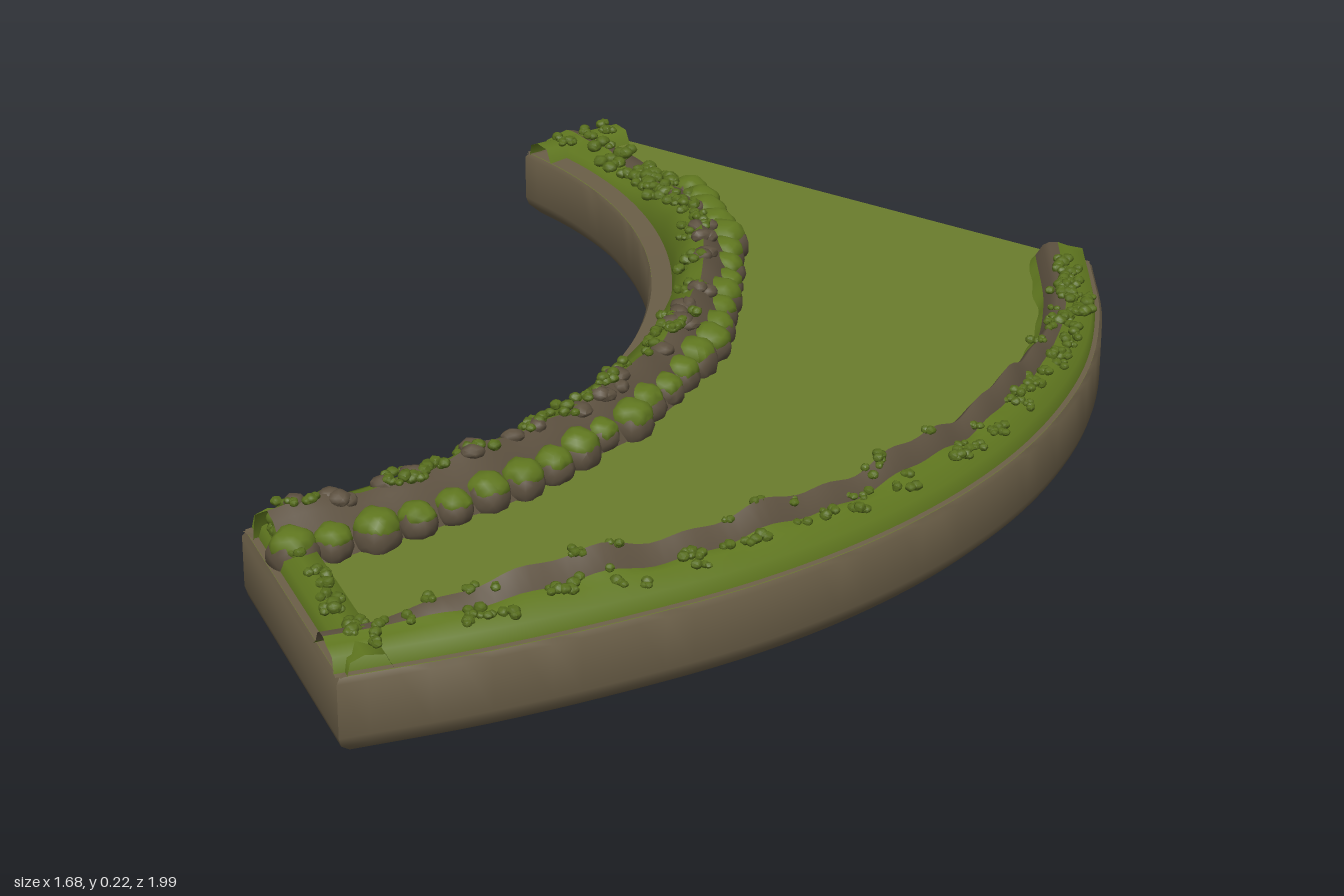
import * as THREE from 'three';
import { mergeGeometries, toCreasedNormals } from 'three/addons/utils/BufferGeometryUtils.js';

const material = (name, color) => new THREE.MeshStandardMaterial({ name, color, side: THREE.DoubleSide });

// Seeded random numbers
let seed = 7;
const rand = (a = 0, b = 1) => {
  seed = (seed * 16807) % 2147483647;
  return a + (b - a) * seed / 2147483647;
};
const mix = THREE.MathUtils.lerp;
const smooth = THREE.MathUtils.smoothstep;

// Ground-plane path; at(u, offset) moves inward from the platform edge
function makePath(points, samples) {
  const curve = new THREE.CatmullRomCurve3(points.map(([x, z]) => new THREE.Vector3(x, 0, z)), false, 'centripetal');
  return {
    samples,
    at(u, offset, y = 0) {
      const p = curve.getPointAt(u), t = curve.getTangentAt(u);
      return new THREE.Vector3(p.x + t.z * offset, y, p.z - t.x * offset);
    },
  };
}

// Surface spanning a run of profile points swept along a path
function sweep(path, profile, from, to) {
  const pos = [], index = [], w = to - from + 1;
  for (let i = 0; i <= path.samples; i++) {
    const u = i / path.samples, rows = profile(u);
    for (let j = from; j <= to; j++) pos.push(...path.at(u, ...rows[j]).toArray());
  }
  for (let i = 0; i < path.samples; i++) {
    for (let j = 0; j < w - 1; j++) {
      const a = i * w + j, b = a + w;
      index.push(a, b, a + 1, b, b + 1, a + 1);
    }
  }
  const g = new THREE.BufferGeometry();
  g.setAttribute('position', new THREE.Float32BufferAttribute(pos, 3));
  g.setIndex(index);
  g.computeVertexNormals();
  return g;
}

function heightAt(profile, u, offset) {
  const rows = profile(u);
  for (let i = 1; i < rows.length; i++) {
    const [a, ya] = rows[i - 1], [b, yb] = rows[i];
    if (offset <= b) return mix(ya, yb, THREE.MathUtils.clamp((offset - a) / (b - a), 0, 1));
  }
  return 0.12;
}

// Lumpy ball for rocks and leaves
function lump(p, sx, sy, sz, detail = 1) {
  const g = new THREE.IcosahedronGeometry(1, detail);
  g.rotateY(rand(0, 6.28));
  const a = g.attributes.position, k = rand(0, 6);
  for (let i = 0; i < a.count; i++) {
    const s = 1 + 0.1 * Math.sin(a.getX(i) * 5 + k) * Math.cos(a.getZ(i) * 5 + k);
    a.setXYZ(i, a.getX(i) * s * sx, a.getY(i) * s * sy, a.getZ(i) * s * sz);
  }
  g.translate(p.x, p.y, p.z);
  return toCreasedNormals(g, 1);
}

export function createModel() {
  const group = new THREE.Group();
  const grass = material('meadow grass', 0x6b7d2d);
  const moss = material('bank moss', 0x5f761f);
  const leaf = material('bush leaves', 0x566c1c);
  const stone = material('edge stone', 0x6a5e47);
  const rock = material('bank rock', 0x5d5140);
  const add = (name, geometry, mat) => {
    const m = new THREE.Mesh(geometry, mat);
    m.name = name;
    group.add(m);
  };

  // The edge paths, running left end, outer curve, cut side, far end, inner curve
  const arc = [];
  for (let i = 0; i <= 16; i++) {
    const a = mix(-0.296, 1.454, i / 16);
    arc.push([-0.97 + 1.117 * Math.cos(a), -0.62 + 1.117 * Math.sin(a)]);
  }
  const inner = makePath(arc, 110);
  const left = makePath([[-0.84, 0.49], [-0.84, 0.985]], 24);
  const outer = makePath([[-0.84, 0.985], [-0.62, 0.985], [-0.4, 0.965], [-0.2, 0.93], [0, 0.865], [0.2, 0.765],
    [0.4, 0.62], [0.6, 0.41], [0.74, 0.19], [0.84, -0.035]], 110);
  const cut = makePath([[0.84, -0.035], [0.28, -1]], 1);
  const far = makePath([[0.28, -1], [0.098, -0.945]], 12);

  // Closed outline of the platform
  const outline = [];
  for (const [path, n] of [[left, 1], [outer, 48], [cut, 1], [far, 1], [inner, 48]]) {
    for (let i = 0; i < n; i++) outline.push(path.at(i / n, 0));
  }
  const count = outline.length;
  const inset = (i, d) => {
    const p = outline[i], q = outline[(i + count - 1) % count], r = outline[(i + 1) % count];
    const a = p.clone().sub(q).normalize(), b = r.clone().sub(p).normalize();
    const n = new THREE.Vector3(a.z + b.z, 0, -a.x - b.x);
    return p.clone().addScaledVector(n, d / (1 + a.dot(b)));
  };

  // Open-bottomed stone wall with a chamfered foot
  const wallPos = [], wallIndex = [];
  const section = [[0.02, 0], [0.004, 0.016], [0, 0.03], [0, 0.112], [0.006, 0.12]];
  for (let i = 0; i < count; i++) {
    for (const [d, y] of section) wallPos.push(...inset(i, d).setY(y).toArray());
    for (let j = 0; j < 4; j++) {
      const a = i * 5 + j, b = ((i + 1) % count) * 5 + j;
      wallIndex.push(a, b, a + 1, b, b + 1, a + 1);
    }
  }
  const wall = new THREE.BufferGeometry();
  wall.setAttribute('position', new THREE.Float32BufferAttribute(wallPos, 3));
  wall.setIndex(wallIndex);
  add('edgeWall', toCreasedNormals(wall, 0.7), stone);

  // Meadow sheet
  const shape = new THREE.Shape(outline.map((_, i) => {
    const p = inset(i, 0.005);
    return new THREE.Vector2(p.x, -p.z);
  }));
  add('meadow', new THREE.ShapeGeometry(shape).rotateX(-Math.PI / 2).translate(0, 0.12, 0), grass);

  // Stone rim on every side but the cut one
  for (const [path, w] of [[left, 0.02], [outer, 0.018], [far, 0.025], [inner, 0.045]]) {
    add('stoneRim', sweep(path, () => [[0.005, 0.121], [w, 0.124]], 0, 1), stone);
  }

  // Bank profiles: [offset from the edge, height]
  const wave = (u, k) => Math.sin(u * k) * 0.6 + Math.sin(u * k * 2.3 + 1) * 0.4;
  const innerBank = (u) => {
    const full = smooth(u, 0.12, 0.32), h = mix(0.025, 0.07, full), v = wave(u, 40);
    return [[0.04, 0.121], [0.05, 0.12 + h * 0.65], [0.075, 0.12 + h * 0.85 + v * 0.004],
      [0.095, 0.12 + h + v * 0.01], [0.115, 0.12 + h * 0.85 + v * 0.006], [0.14, 0.12 + h * 0.4], [0.155 + v * 0.006, 0.121]];
  };
  const outerBank = (u) => {
    const full = smooth(u, 0.02, 0.14) * (1 - smooth(u, 0.68, 0.85)), v = wave(u, 42);
    const h = mix(0.035, 0.078, full);
    return [[0.012, 0.121], [0.018, 0.145], [0.045, 0.15 + 0.012 * full], [0.062, 0.156 + full * (0.01 + v * 0.008)],
      [0.078, 0.12 + h + v * 0.012 * full], [0.088, 0.12 + h * 0.85 + v * 0.008 * full], [0.1, 0.12 + h * 0.3], [0.112 + v * 0.006, 0.121]];
  };
  const endBank = () => [[0.015, 0.121], [0.02, 0.142], [0.04, 0.15], [0.07, 0.146], [0.082, 0.121]];
  add('innerBankMoss', sweep(inner, innerBank, 0, 3), moss);
  add('innerBankRockFace', sweep(inner, innerBank, 3, 6), rock);
  add('outerBankMoss', sweep(outer, outerBank, 0, 3), moss);
  add('outerBankRidge', sweep(outer, outerBank, 3, 6), rock);
  add('outerBankFoot', sweep(outer, outerBank, 6, 7), moss);
  add('leftEndBank', sweep(left, endBank, 0, 4), moss);
  add('farEndBank', sweep(far, endBank, 0, 4), moss);

  // Mossy boulders along the inner bank
  const boulders = [], caps = [];
  for (let i = 0; i < 27; i++) {
    const u = mix(0.19, 0.99, i / 26), r = rand(0.029, 0.039) * (u < 0.36 ? 1.12 : 1);
    const p = inner.at(u, rand(0.128, 0.148), 0.137);
    boulders.push(lump(p, r, r * 0.95, r, 2));
    p.y += r * 0.38;
    caps.push(lump(p, r * 0.93, r * 0.68, r * 0.93, 2));
  }
  add('boulders', mergeGeometries(boulders), rock);
  add('boulderMoss', mergeGeometries(caps), moss);

  // Rocks lying on the inner crest
  const crest = [];
  for (let i = 0; i < 34; i++) {
    const u = rand(0.2, 0.98), o = rand(0.085, 0.115);
    crest.push(lump(inner.at(u, o, heightAt(innerBank, u, o)), rand(0.012, 0.022), 0.012, rand(0.012, 0.022)));
  }
  add('crestRocks', mergeGeometries(crest), rock);

  // Small bushes made of leaf clusters
  const tufts = [];
  const scatter = (path, profile, n, u0, u1, o0, o1, size) => {
    for (let i = 0; i < n; i++) {
      const u = rand(u0, u1), o = rand(o0, o1), y = heightAt(profile, u, o);
      for (let k = 0; k < 3; k++) {
        const r = size * rand(0.6, 1.1);
        const p = path.at(u, o, y + r * rand(0.3, 0.9));
        p.x += rand(-size, size);
        p.z += rand(-size, size);
        tufts.push(lump(p, r, r * 0.8, r));
      }
    }
  };
  scatter(inner, innerBank, 75, 0.18, 0.985, 0.06, 0.11, 0.01);
  scatter(inner, innerBank, 26, 0.05, 0.22, 0.06, 0.13, 0.013);
  scatter(outer, outerBank, 80, 0.02, 0.97, 0.028, 0.065, 0.009);
  scatter(outer, outerBank, 22, 0.05, 0.85, 0.07, 0.085, 0.008);
  scatter(outer, outerBank, 16, 0.8, 0.97, 0.03, 0.08, 0.011);
  scatter(left, endBank, 16, 0.08, 0.95, 0.03, 0.065, 0.01);
  scatter(left, endBank, 8, 0.12, 0.26, 0.03, 0.07, 0.016);
  scatter(far, endBank, 9, 0.1, 0.8, 0.035, 0.07, 0.01);
  add('bushes', mergeGeometries(tufts), leaf);

  return group;
}
